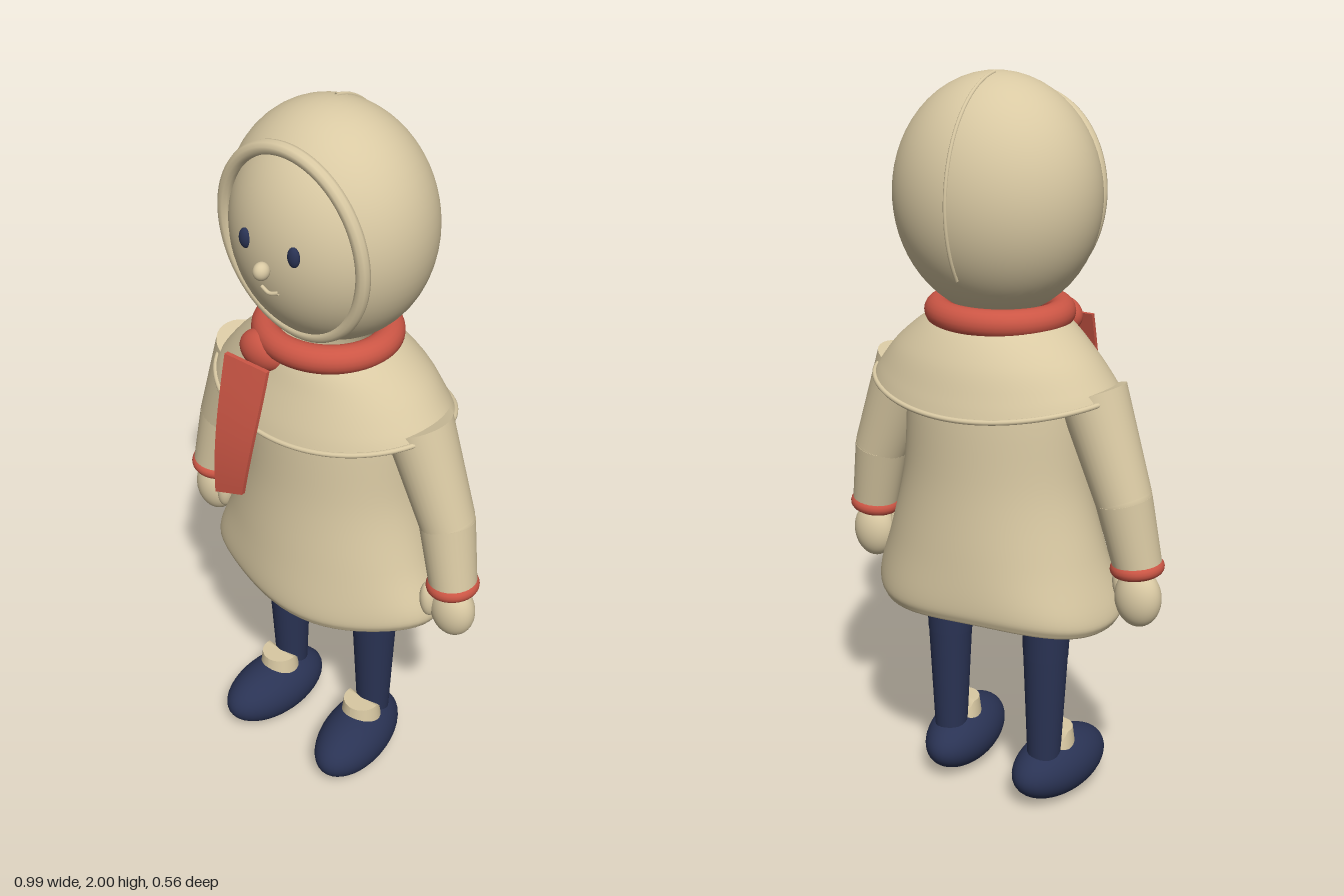
import * as THREE from 'three';

const V = (x, y, z) => new THREE.Vector3(x, y, z);

// Closed rings stacked from top to bottom; place(row, angle) gives each point.
function loft(rows, place, n = 64) {
  const pos = [], index = [];
  rows.forEach((row, i) => {
    for (let j = 0; j < n; j++) {
      pos.push(...place(row, (j / n) * Math.PI * 2));
      if (i === rows.length - 1) continue;
      const a = i * n + j, b = i * n + (j + 1) % n;
      index.push(a, b, a + n, b, b + n, a + n);
    }
  });
  const g = new THREE.BufferGeometry();
  g.setAttribute('position', new THREE.Float32BufferAttribute(pos, 3));
  g.setIndex(index);
  g.computeVertexNormals();
  return g;
}

// Smooth in-between rows from a few key rows.
function smoothRows(keys, steps) {
  const out = [];
  const at = (i) => keys[Math.max(0, Math.min(keys.length - 1, i))];
  for (let s = 0; s <= steps; s++) {
    const f = (s / steps) * (keys.length - 1), i = Math.min(Math.floor(f), keys.length - 2), t = f - i;
    out.push(keys[0].map((_, k) => {
      const [a, b, c, d] = [at(i - 1)[k], at(i)[k], at(i + 1)[k], at(i + 2)[k]];
      return b + 0.5 * t * (c - a + t * (2 * a - 5 * b + 4 * c - d + t * (3 * (b - c) + d - a)));
    }));
  }
  return out;
}

export function createModel() {
  const root = new THREE.Group();
  root.name = 'bundledChild';
  const mat = (name, color, extra = {}) => new THREE.MeshStandardMaterial({ name, color, ...extra });
  const cream = mat('cream', 0xd9c9a3, { side: THREE.DoubleSide });
  const red = mat('scarfRed', 0xcc5645);
  const navy = mat('navy', 0x2a3354);

  const add = (name, geometry, material, parent = root) => {
    const m = new THREE.Mesh(geometry, material);
    m.name = name;
    parent.add(m);
    return m;
  };
  const ball = (name, material, c, r, parent = root, seg = 40) => {
    const m = add(name, new THREE.SphereGeometry(1, seg, Math.round(seg * 0.7)), material, parent);
    m.position.set(...c);
    m.scale.set(...r);
    return m;
  };
  const limb = (name, material, from, to, r0, r1, parent) => {
    const d = to.clone().sub(from);
    const m = add(name, new THREE.CylinderGeometry(r1, r0, d.length(), 32), material, parent);
    m.position.copy(from).addScaledVector(d, 0.5);
    m.quaternion.setFromUnitVectors(V(0, 1, 0), d.normalize());
    return m;
  };
  const tube = (name, material, pts, r, closed = false, parent = root) =>
    add(name, new THREE.TubeGeometry(new THREE.CatmullRomCurve3(pts, closed), closed ? 96 : 32, r, 10, closed), material, parent);

  // Hood with a face opening tilted slightly downward
  const hoodGeo = new THREE.SphereGeometry(1, 56, 36, 0, Math.PI * 2, 0.9, Math.PI - 0.9);
  hoodGeo.rotateX(Math.PI / 2 + 0.08).scale(0.275, 0.305, 0.242);
  add('hood', hoodGeo, cream).position.set(0, 1.695, -0.023);

  // Face and padded rim
  ball('face', cream, [0, 1.685, 0], [0.25, 0.285, 0.214], root, 56);
  const rim = [];
  for (let i = 0; i < 48; i++) {
    const a = (i / 48) * Math.PI * 2, s = Math.sin(a);
    rim.push(V(0.214 * Math.cos(a), 1.685 + 0.248 * s, 0.123 + 0.021 * s));
  }
  tube('hoodRim', cream, rim, 0.018, true);

  // Seam over the crown and down the back
  const seam = [];
  for (let i = 0; i <= 16; i++) {
    const a = 1.68 + (i / 16) * 2.1;
    seam.push(V(-0.01, 1.695 + 0.305 * Math.sin(a), -0.023 + 0.242 * Math.cos(a)));
  }
  tube('hoodSeam', cream, seam, 0.005);

  // Facial features
  for (const s of [-1, 1]) ball('eye', navy, [s * 0.075, 1.71, 0.204], [0.017, 0.026, 0.012], root, 20);
  ball('nose', cream, [0, 1.66, 0.233], [0.02, 0.023, 0.022], root, 24);
  tube('mouth', cream, [V(-0.026, 1.598, 0.204), V(0, 1.591, 0.208), V(0.026, 1.598, 0.204)], 0.005);

  // Coat rows: y, half width, half depth, hem wave
  const coatKeys = [
    [1.38, 0.12, 0.10, 0], [1.28, 0.23, 0.165, 0], [1.17, 0.252, 0.188, 0], [0.96, 0.268, 0.198, 0],
    [0.78, 0.315, 0.216, 0.3], [0.65, 0.362, 0.228, 1], [0.605, 0.36, 0.222, 1],
    [0.592, 0.325, 0.2, 0.9], [0.615, 0.16, 0.1, 0.3], [0.62, 0.003, 0.002, 0],
  ];
  add('coat', loft(smoothRows(coatKeys, 54), ([y, rx, rz, w], a) => {
    const k = 1 + 0.018 * w * Math.sin(5 * a + 0.6);
    return [rx * k * Math.cos(a), y + 0.011 * w * Math.sin(3 * a + 0.9), -0.028 + rz * k * Math.sin(a)];
  }), cream);

  // Shoulder cape rows: y, half width, half depth, z centre, lift at the sides
  const capePoint = ([y, rx, rz, zc, lift], a) =>
    [rx * Math.cos(a), y + lift * Math.cos(a) ** 2, zc + rz * Math.sin(a)];
  const capeKeys = [
    [1.41, 0.14, 0.13, -0.01, 0], [1.37, 0.21, 0.17, -0.02, 0], [1.30, 0.28, 0.205, -0.03, 0.01],
    [1.22, 0.33, 0.233, -0.03, 0.03], [1.175, 0.35, 0.246, -0.03, 0.045],
  ];
  add('cape', loft(smoothRows(capeKeys, 24), capePoint), cream);
  const hem = [];
  for (let i = 0; i < 48; i++) hem.push(V(...capePoint(capeKeys[4], (i / 48) * Math.PI * 2)));
  tube('capeHem', cream, hem, 0.007, true);

  // Scarf: neck roll, knot and hanging tail
  const roll = add('scarfRoll', new THREE.TorusGeometry(0.162, 0.037, 20, 64).rotateX(Math.PI / 2), red);
  roll.position.set(0, 1.398, -0.01);
  roll.scale.z = 0.95;
  ball('scarfKnot', red, [-0.085, 1.365, 0.138], [0.072, 0.054, 0.046]);
  const tail = new THREE.BoxGeometry(1, 1, 0.012, 4, 16, 1), p = tail.attributes.position;
  for (let i = 0; i < p.count; i++) {
    const t = 0.5 - p.getY(i), u = p.getX(i) + 0.5;
    const left = -0.155 + 0.01 * t, right = -0.015 - 0.035 * t * t;
    p.setXYZ(i, left + (right - left) * u, 1.36 - t * (0.39 - 0.035 * u),
      0.203 + 0.068 * Math.sin((t * Math.PI) / 2) + p.getZ(i));
  }
  tail.computeVertexNormals();
  add('scarfTail', tail, red);

  for (const s of [-1, 1]) {
    const side = s > 0 ? 'left' : 'right';

    // Arm: two sleeve sections, cuff, mitten and thumb
    const arm = new THREE.Group();
    arm.name = side + 'Arm';
    root.add(arm);
    const shoulder = V(s * 0.285, 1.225, -0.02), elbow = V(s * 0.385, 0.96, -0.025), wrist = V(s * 0.424, 0.78, -0.012);
    limb('upperSleeve', cream, shoulder, elbow, 0.09, 0.074, arm);
    ball('elbow', cream, elbow.toArray(), [0.073, 0.073, 0.073], arm);
    limb('lowerSleeve', cream, elbow, wrist, 0.074, 0.064, arm);
    const cuff = add('cuff', new THREE.TorusGeometry(0.05, 0.021, 16, 40).rotateX(Math.PI / 2), red, arm);
    cuff.position.set(s * 0.423, 0.775, -0.012);
    cuff.rotation.z = s * 0.12;
    ball('mitten', cream, [s * 0.428, 0.69, -0.012], [0.064, 0.08, 0.05], arm);
    ball('thumb', cream, [s * 0.366, 0.708, 0.012], [0.024, 0.054, 0.026], arm, 24).rotation.z = s * 0.1;

    // Leg: thigh, shin, sock and rounded shoe
    const leg = new THREE.Group();
    leg.name = side + 'Leg';
    root.add(leg);
    const hip = V(s * 0.16, 0.68, -0.022), knee = V(s * 0.158, 0.455, -0.025), ankle = V(s * 0.157, 0.12, -0.028);
    limb('thigh', navy, hip, knee, 0.071, 0.062, leg);
    limb('shin', navy, knee, ankle, 0.061, 0.045, leg);
    const sock = new THREE.CylinderGeometry(0.052, 0.062, 0.08, 32), q = sock.attributes.position;
    for (let i = 0; i < q.count; i++) {
      if (q.getY(i) > 0 && q.getZ(i) < -0.01) q.setY(i, q.getY(i) + (q.getZ(i) + 0.01) * 1.3);
    }
    sock.computeVertexNormals();
    add('sock', sock, cream, leg).position.set(s * 0.158, 0.171, 0.026);
    ball('shoe', navy, [s * 0.16, 0.09, 0.049], [0.095, 0.09, 0.175], leg).rotation.y = s * 0.12;
  }
  return root;
}
